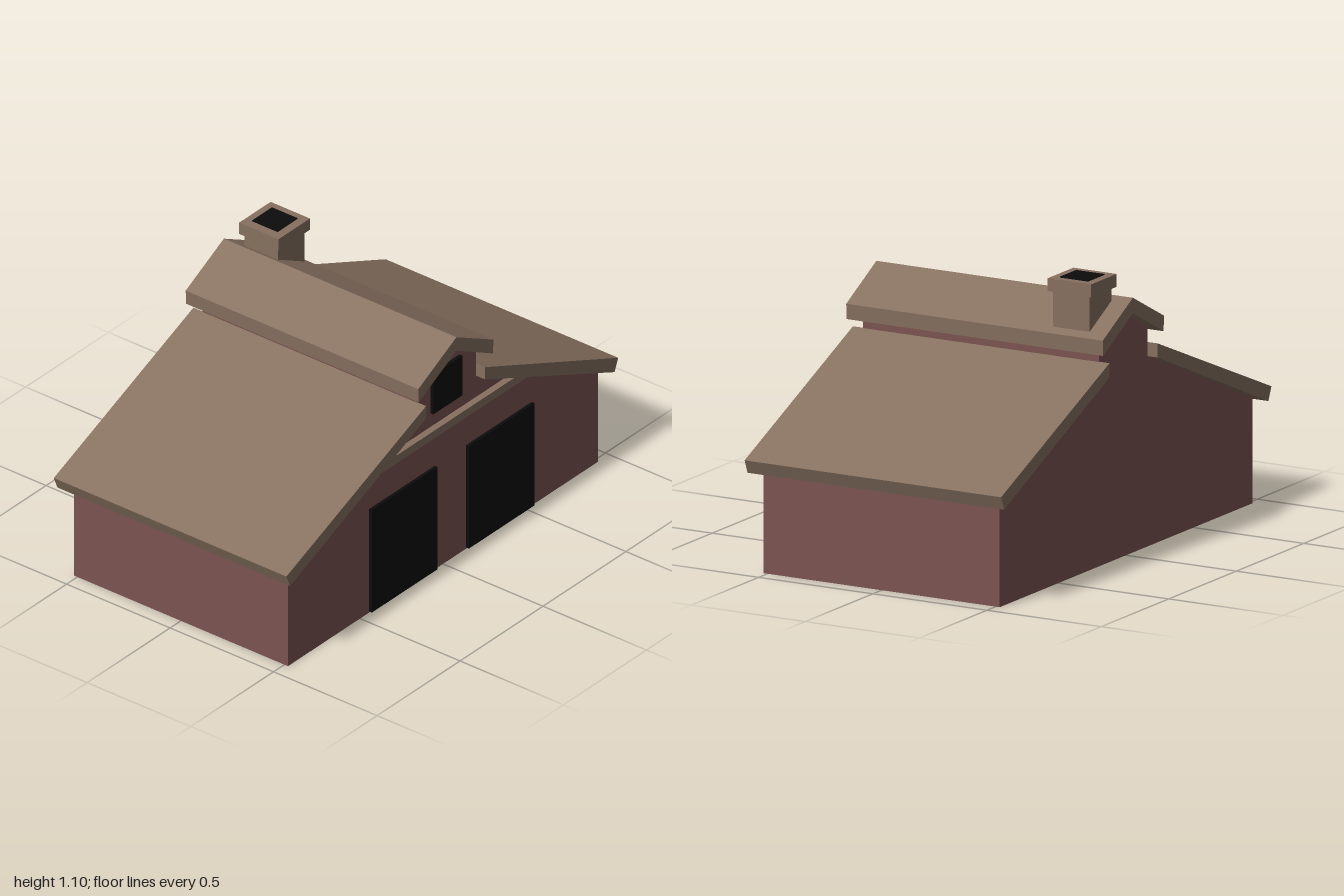
import * as THREE from 'three';

const wallMat = new THREE.MeshStandardMaterial({ color: 0x7a5350 });
const roofMat = new THREE.MeshStandardMaterial({ color: 0x86705f });
const darkMat = new THREE.MeshStandardMaterial({ color: 0x0c0c0c });

// Extrudes a [z, y] outline along x between x0 and x1.
function prism(name, points, x0, x1, material) {
  const shape = new THREE.Shape(points.map(([z, y]) => new THREE.Vector2(-z, y)));
  const geometry = new THREE.ExtrudeGeometry(shape, { depth: x1 - x0, bevelEnabled: false });
  geometry.rotateY(Math.PI / 2);
  geometry.translate(x0, 0, 0);
  const mesh = new THREE.Mesh(geometry, material);
  mesh.name = name;
  return mesh;
}

// Box given by its limits on each axis.
function box(name, [x0, x1], [y0, y1], [z0, z1], material) {
  const mesh = new THREE.Mesh(new THREE.BoxGeometry(x1 - x0, y1 - y0, z1 - z0), material);
  mesh.position.set((x0 + x1) / 2, (y0 + y1) / 2, (z0 + z1) / 2);
  mesh.name = name;
  return mesh;
}

export function createModel() {
  const barn = new THREE.Group();
  barn.name = 'barn';
  const wallX = 0.517, roofX = 0.562;

  // Walls with the raised centre aisle
  barn.add(prism('walls', [
    [0.935, 0], [0.935, 0.412], [0.16, 0.742], [0.16, 0.855], [-0.023, 0.952],
    [-0.2, 0.855], [-0.2, 0.742], [-0.935, 0.412], [-0.935, 0],
  ], -wallX, wallX, wallMat));

  // Lower roof slopes
  barn.add(prism('frontRoof', [[1, 0.447], [0.158, 0.795], [0.158, 0.74], [0.978, 0.394]], -roofX, roofX, roofMat));
  barn.add(prism('backRoof', [[-1, 0.447], [-0.198, 0.795], [-0.198, 0.74], [-0.978, 0.394]], -roofX, roofX, roofMat));

  // Raised ridge roof
  barn.add(prism('ridgeRoof', [
    [0.205, 0.893], [-0.025, 1.012], [-0.248, 0.893], [-0.245, 0.833], [-0.025, 0.952], [0.202, 0.833],
  ], -roofX, roofX, roofMat));

  // Trim band across the gable end
  barn.add(prism('gableTrim', [[0.47, 0.61], [0.39, 0.645], [-0.43, 0.645], [-0.51, 0.61]], wallX - 0.01, 0.545, roofMat));

  // Doors and loft window
  const doorX = [wallX - 0.01, 0.53];
  barn.add(box('frontDoor', doorX, [0.005, 0.46], [0.05, 0.445], darkMat));
  barn.add(box('backDoor', doorX, [0.005, 0.46], [-0.535, -0.14], darkMat));
  barn.add(box('loftWindow', doorX, [0.705, 0.882], [-0.1, 0.075], darkMat));

  // Chimney
  const chimney = new THREE.Group();
  chimney.name = 'chimney';
  chimney.add(
    box('chimneyShaft', [-0.485, -0.325], [0.85, 1.05], [-0.215, -0.055], roofMat),
    box('chimneyCap', [-0.5, -0.31], [1.05, 1.1], [-0.23, -0.04], roofMat),
    box('chimneyFlue', [-0.468, -0.345], [1.09, 1.104], [-0.198, -0.078], darkMat),
  );
  barn.add(chimney);
  return barn;
}
